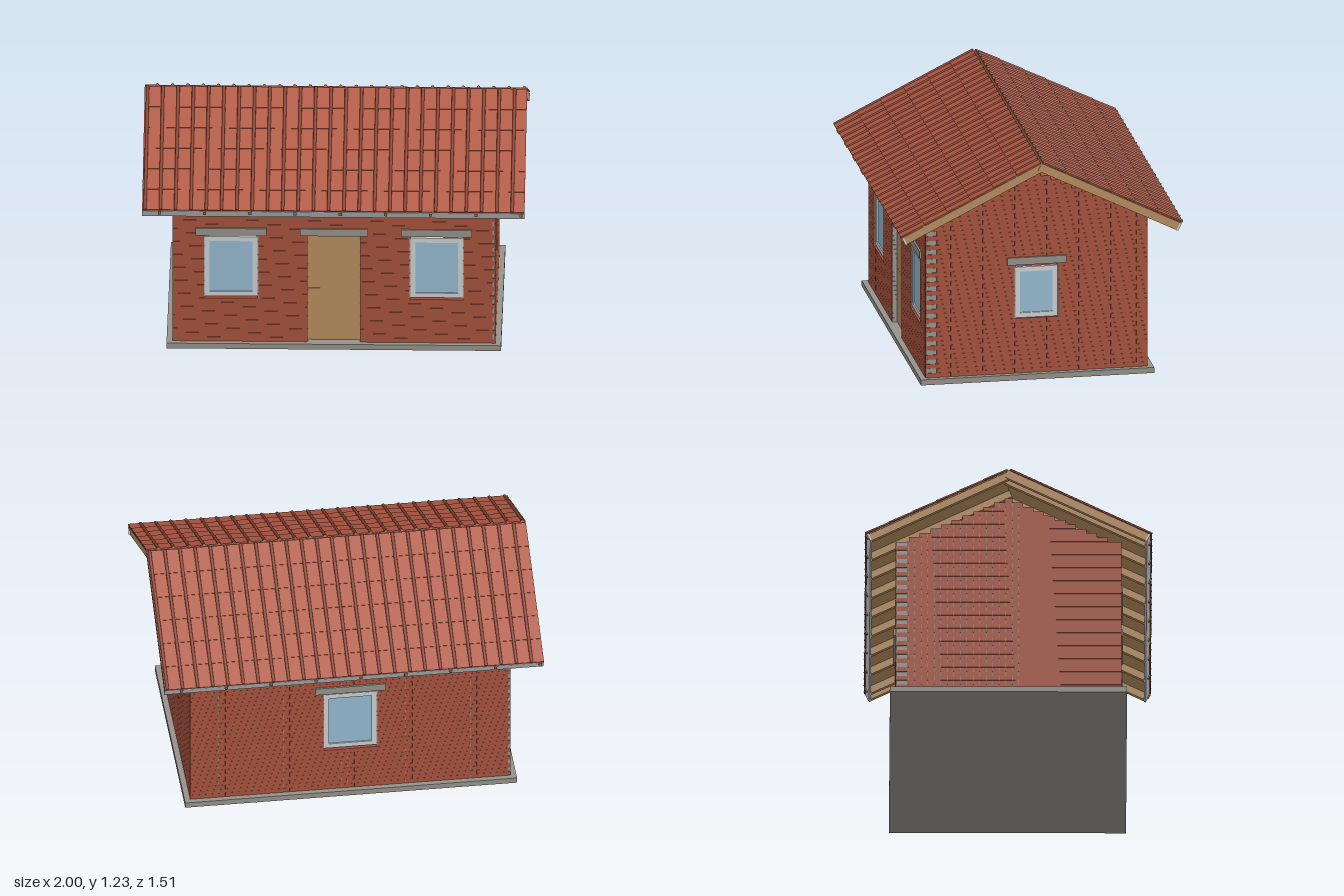
import * as THREE from 'three';
import { mergeGeometries } from 'three/addons/utils/BufferGeometryUtils.js';

const mat = (name, color) => new THREE.MeshStandardMaterial({ name, color });
const M = {
  brick: mat('brick red', 0xa8533e),
  mortar: mat('mortar grey', 0x9a978f),
  concrete: mat('concrete grey', 0x96938b),
  tile: mat('roof tile', 0xb25842),
  rib: mat('roof rib', 0x8a4433),
  wood: mat('wood', 0xb88e60),
  frame: mat('pale frame', 0xcfd2d5),
  glass: mat('window glass', 0x96bcd3),
};

// Box given by its limits on each axis
const span = (x0, x1, y0, y1, z0, z1) =>
  new THREE.BoxGeometry(x1 - x0, y1 - y0, z1 - z0).translate((x0 + x1) / 2, (y0 + y1) / 2, (z0 + z1) / 2);

function add(group, name, material, ...geos) {
  const mesh = new THREE.Mesh(geos.length > 1 ? mergeGeometries(geos) : geos[0], material);
  mesh.name = name;
  group.add(mesh);
  return mesh;
}

const BASE = 0.03, COURSE = 0.025, BRICK = 0.068, JOINT = 0.0006, HALF = 0.03;
const BODY_ROWS = 34, GABLE_ROWS = 10;

// Brick wall running along local x and facing local +z
function makeWall(name, half, openings, { gable = false, toothed = false } = {}) {
  const wall = new THREE.Group();
  wall.name = name;
  const bricks = [], mortar = [];
  const rows = BODY_ROWS + (gable ? GABLE_ROWS : 0);
  for (let r = 0; r < rows; r++) {
    const y0 = BASE + r * COURSE, y1 = y0 + COURSE, mid = (y0 + y1) / 2;
    const h = r < BODY_ROWS ? half : 0.52 - (r - BODY_ROWS) * 0.0556;

    // Solid stretches of this course, left of, between and right of the openings
    const cuts = openings.filter(o => mid > o.y0 && mid < o.y1).sort((a, b) => a.x - b.x);
    const edges = [-h, ...cuts.flatMap(o => [o.x - o.w / 2, o.x + o.w / 2]), h];
    for (let i = 0; i < edges.length; i += 2) {
      const a = edges[i], b = edges[i + 1];
      const m0 = i === 0 ? a + 0.002 : a - 0.004;
      const m1 = i + 2 === edges.length ? b - 0.002 : b + 0.004;
      mortar.push(span(m0, m1, y0, y1 - 0.001, -HALF + 0.002, HALF - 0.002));

      const end = toothed && r % 2 && i + 2 === edges.length ? b - 0.015 : b;
      const first = Math.floor((a + 1) / BRICK) - 1;
      for (let k = first; ; k++) {
        const u = -1 + (k + (r % 2) / 2) * BRICK;
        if (u >= end) break;
        const u0 = Math.max(u, a), u1 = Math.min(u + BRICK - JOINT, end);
        if (u1 - u0 > 0.003) bricks.push(span(u0, u1, y0, y1 - JOINT, -HALF, HALF));
      }
    }
  }
  add(wall, 'bricks', M.brick, ...bricks);
  add(wall, 'mortar', M.mortar, ...mortar);
  return wall;
}

function addLintel(wall, x, width, y) {
  add(wall, 'lintel', M.concrete, span(x - width / 2, x + width / 2, y, y + 0.04, -HALF - 0.004, HALF + 0.01));
}

// Window with a pale frame and one pane
function addWindow(wall, x, width, y0, y1) {
  const w = width / 2, t = 0.026, z0 = 0.002, z1 = 0.022;
  add(wall, 'windowFrame', M.frame,
    span(x - w, x - w + t, y0, y1, z0, z1), span(x + w - t, x + w, y0, y1, z0, z1),
    span(x - w + t, x + w - t, y0, y0 + t, z0, z1), span(x - w + t, x + w - t, y1 - t, y1, z0, z1));
  add(wall, 'windowPane', M.glass, span(x - w + t, x + w - t, y0 + t, y1 - t, 0.008, 0.015));
}

// One roof slope: local z runs down the slope, local y is its normal
function makeSlope(name) {
  const slope = new THREE.Group();
  slope.name = name;
  const L = 0.83, courses = 6;
  const rafterX = [-0.985];
  for (let i = 0; i < 9; i++) rafterX.push(-0.91 + i * 0.2365);

  add(slope, 'rafters', M.wood, ...rafterX.map(x => span(x - 0.012, x + 0.012, -0.045, -0.006, 0, L - 0.01)));
  add(slope, 'rafterTips', M.wood, ...rafterX.slice(1).map(x => span(x - 0.008, x + 0.008, -0.024, 0, L - 0.01, L + 0.006)));
  add(slope, 'roofDeck', M.wood, span(-0.997, 0.997, -0.007, -0.001, 0, L - 0.01));
  add(slope, 'fascia', M.frame, span(-1, 1, -0.045, -0.002, L - 0.01, L));

  // Overlapping tile courses, each tipped up a little at its lower edge
  const tiles = [];
  for (let i = 0; i < courses; i++) {
    const step = (L - 0.006) / courses;
    tiles.push(new THREE.BoxGeometry(2, 0.007, step + 0.004).rotateX(-0.022)
      .translate(0, 0.006, 0.006 + (i + 0.5) * step));
  }
  add(slope, 'tileCourses', M.tile, ...tiles);

  // Raised rolls between the tiles
  const ribs = [];
  for (let i = 0; i < 25; i++) {
    ribs.push(new THREE.CylinderGeometry(0.009, 0.009, L - 0.004, 8).rotateX(Math.PI / 2)
      .translate(-0.985 + i * 0.08, 0.008, L / 2 + 0.004));
  }
  add(slope, 'tileRibs', M.rib, ...ribs);
  slope.position.y = 1.222;
  slope.rotation.x = 0.461;
  return slope;
}

export function createModel() {
  const house = new THREE.Group();
  house.name = 'brickHouse';

  add(house, 'foundation', M.concrete, span(-0.875, 0.875, 0, BASE, -0.62, 0.62));

  // Front wall: a door between two windows
  const tall = x => ({ x, w: 0.284, y0: 0.29, y1: 0.645 });
  const front = makeWall('frontWall', 0.845,
    [tall(-0.5375), { x: 0, w: 0.28, y0: 0, y1: 0.645 }, tall(0.5375)], { toothed: true });
  front.position.z = 0.56;
  for (const x of [-0.5375, 0.5375]) {
    addWindow(front, x, 0.276, 0.287, 0.63);
    addLintel(front, x, 0.37, 0.645);
  }
  add(front, 'door', M.wood,
    span(-0.136, 0.136, 0.033, 0.33, -0.015, 0.005), span(-0.136, 0.136, 0.331, 0.63, -0.015, 0.005));
  addLintel(front, 0, 0.355, 0.645);

  // Back wall: one window
  const back = makeWall('backWall', 0.845, [tall(0)], { toothed: true });
  back.position.z = -0.56;
  back.rotation.y = Math.PI;
  addWindow(back, 0, 0.276, 0.287, 0.63);
  addLintel(back, 0, 0.37, 0.645);

  // Gable walls: a window on one side only
  const right = makeWall('windowGableWall', 0.53, [{ x: 0, w: 0.234, y0: 0.33, y1: 0.63 }], { gable: true });
  right.position.x = 0.815;
  right.rotation.y = Math.PI / 2;
  addWindow(right, 0, 0.226, 0.331, 0.608);
  addLintel(right, 0, 0.315, 0.625);

  const left = makeWall('plainGableWall', 0.53, [], { gable: true });
  left.position.x = -0.815;
  left.rotation.y = -Math.PI / 2;

  // Roof: the same slope turned round for the back
  const backRoof = new THREE.Group();
  backRoof.name = 'backRoof';
  backRoof.rotation.y = Math.PI;
  backRoof.add(makeSlope('backSlope'));

  house.add(front, back, right, left, makeSlope('frontSlope'), backRoof);
  return house;
}
